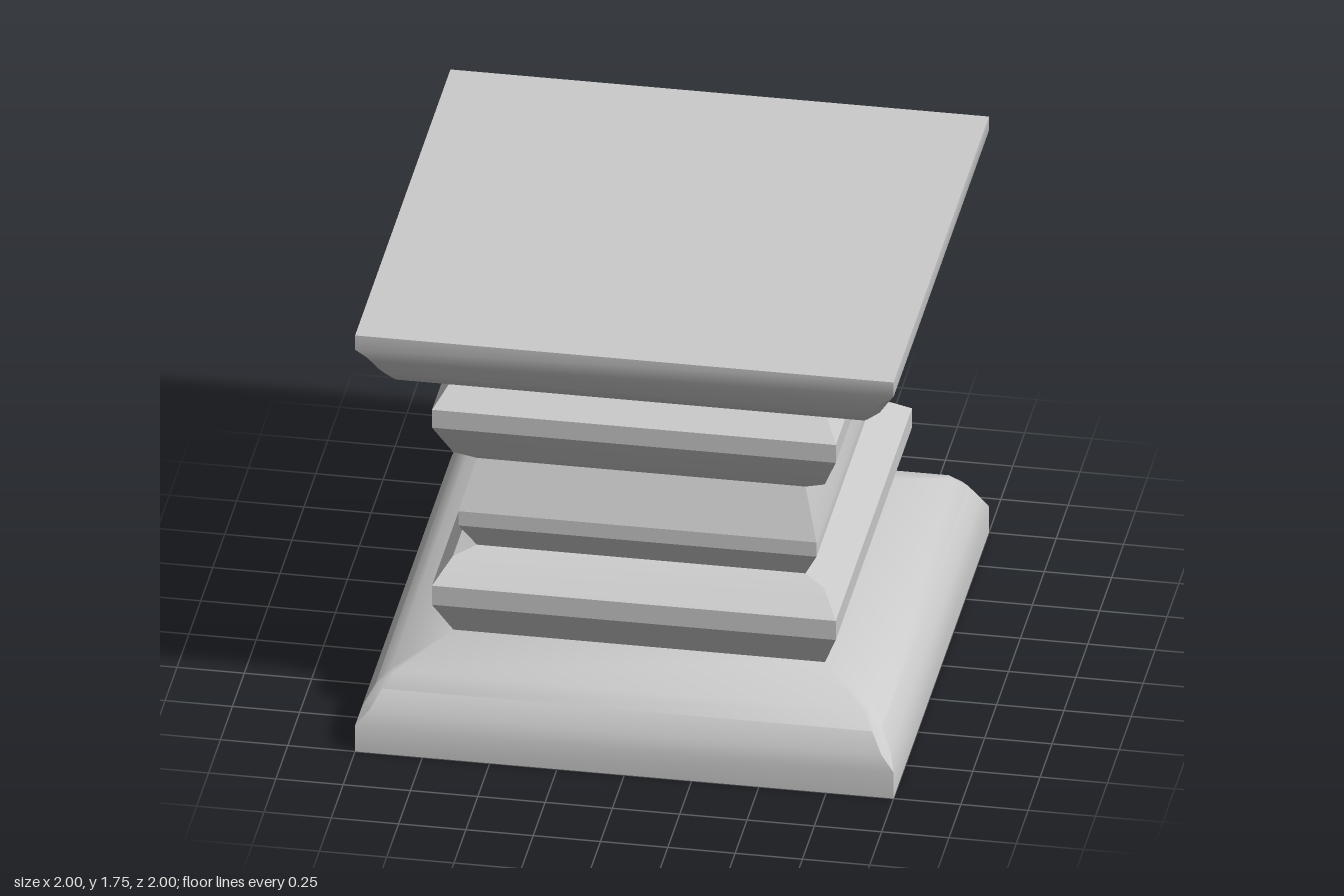
import * as THREE from 'three';
import { toCreasedNormals } from 'three/addons/utils/BufferGeometryUtils.js';

const material = new THREE.MeshStandardMaterial({ color: 0xcccccc });

// Loft rectangular rings [y, halfX, halfZ, cornerCut], listed from bottom to top.
function moulding(name, rings, crease, capBottom = false, capTop = false) {
  const loops = rings.map(([y, x, z, c = 0]) => [
    [x, y, z - c], [x, y, c - z], [x - c, y, -z], [c - x, y, -z],
    [-x, y, c - z], [-x, y, z - c], [c - x, y, z], [x - c, y, z],
  ]);
  const positions = [];
  const triangle = (a, b, c) => {
    const same = (p, q) => p.every((v, i) => v === q[i]);
    if (!same(a, b) && !same(b, c) && !same(a, c)) positions.push(...a, ...b, ...c);
  };

  // Sides
  for (let r = 0; r < loops.length - 1; r++) {
    const low = loops[r], high = loops[r + 1];
    for (let i = 0; i < 8; i++) {
      const j = (i + 1) % 8;
      triangle(low[i], low[j], high[j]);
      triangle(low[i], high[j], high[i]);
    }
  }

  // End faces
  const bottom = loops[0], top = loops[loops.length - 1];
  for (let i = 1; i < 7; i++) {
    if (capBottom) triangle(bottom[0], bottom[i + 1], bottom[i]);
    if (capTop) triangle(top[0], top[i], top[i + 1]);
  }

  const geometry = new THREE.BufferGeometry();
  geometry.setAttribute('position', new THREE.Float32BufferAttribute(positions, 3));
  const mesh = new THREE.Mesh(toCreasedNormals(geometry, crease), material);
  mesh.name = name;
  return mesh;
}

export function createModel() {
  const group = new THREE.Group();
  group.name = 'pedestal';
  group.add(
    // Rounded plinth with slightly clipped corners
    moulding('base', [
      [0, 1, 1], [0.11, 1, 1], [0.17, 0.98, 0.98, 0.03],
      [0.24, 0.94, 0.94, 0.03], [0.29, 0.89, 0.89, 0.02], [0.37, 0.69, 0.69],
    ], 0.65, true),
    // Angular bands of the shaft
    moulding('lowerBand', [
      [0.37, 0.69, 0.69], [0.53, 0.75, 0.8], [0.61, 0.75, 0.8],
      [0.685, 0.69, 0.7], [0.71, 0.61, 0.645],
    ], 0.3),
    moulding('waist', [
      [0.71, 0.61, 0.645], [0.83, 0.665, 0.725],
      [0.89, 0.665, 0.725], [1.075, 0.61, 0.645],
    ], 0.36),
    moulding('upperBand', [
      [1.075, 0.61, 0.645], [1.12, 0.69, 0.695], [1.275, 0.75, 0.8],
      [1.35, 0.75, 0.8], [1.43, 0.69, 0.69],
    ], 0.3),
    // Flared slab on top
    moulding('capital', [
      [1.43, 0.69, 0.69], [1.51, 0.88, 0.88, 0.01], [1.56, 0.93, 0.93, 0.03],
      [1.63, 0.97, 0.97, 0.03], [1.69, 1, 1], [1.75, 1, 1],
    ], 0.65, false, true),
  );
  return group;
}
